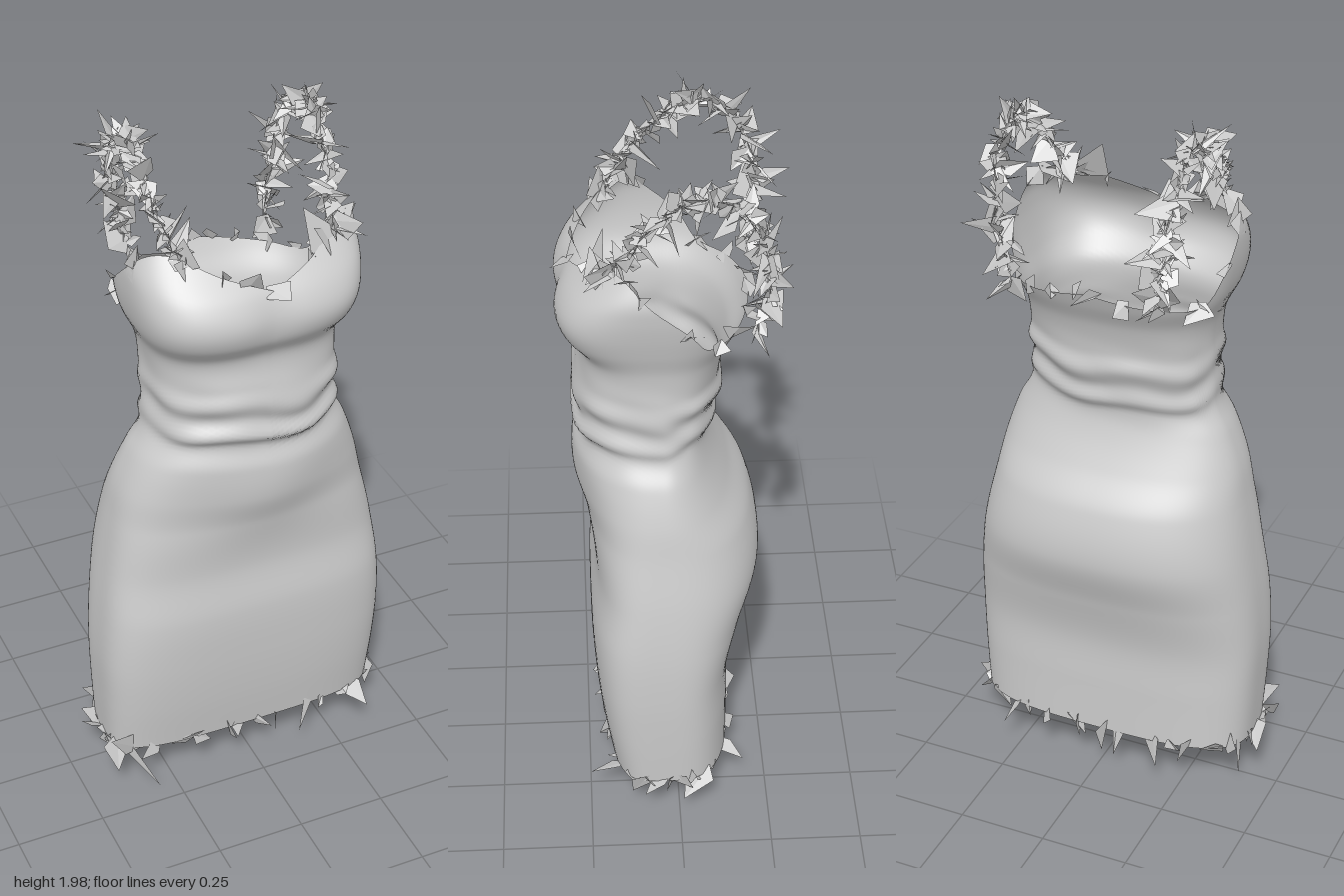
import * as THREE from 'three';

// Dress profile: height, right x, left x, front z, back z
const PROFILE = [
  [0.14, -0.415, 0.395, 0.19, -0.145], [0.30, -0.422, 0.405, 0.215, -0.145],
  [0.45, -0.425, 0.41, 0.23, -0.148], [0.60, -0.415, 0.405, 0.235, -0.185],
  [0.75, -0.395, 0.385, 0.22, -0.23], [0.90, -0.37, 0.352, 0.243, -0.205],
  [1.00, -0.35, 0.33, 0.272, -0.145], [1.10, -0.31, 0.295, 0.272, -0.10],
  [1.165, -0.27, 0.258, 0.252, -0.09], [1.20, -0.272, 0.262, 0.276, -0.11],
  [1.245, -0.26, 0.252, 0.256, -0.105], [1.295, -0.268, 0.26, 0.272, -0.127],
  [1.34, -0.262, 0.252, 0.258, -0.118], [1.43, -0.27, 0.255, 0.25, -0.138],
  [1.50, -0.30, 0.275, 0.298, -0.175], [1.56, -0.312, 0.29, 0.31, -0.20],
  [1.62, -0.315, 0.30, 0.285, -0.21], [1.67, -0.31, 0.30, 0.24, -0.21],
  [1.74, -0.28, 0.27, 0.17, -0.21],
];
// Neckline: angle from the front centre, height
const NECKLINE = [[0, 1.63], [0.35, 1.67], [0.75, 1.72], [1.1, 1.71],
  [1.5, 1.65], [1.82, 1.58], [2.08, 1.51], [2.5, 1.51], [Math.PI, 1.54]];
// Squareness of the cross-section: height, front, back
const SQUARENESS = [[0.14, 3.8, 3.2], [0.45, 3.9, 3], [0.75, 3.4, 2.5],
  [1.0, 2.8, 2.3], [1.22, 2.5, 2.1], [1.42, 2.8, 2.4], [1.55, 3.4, 2.5], [1.74, 3, 2.5]];
const CENTRE_Z = 0.04, HEM = 0.15;

// Smooth interpolation through the rows of a table
function sample(table, t, col) {
  const last = table.length - 1;
  t = THREE.MathUtils.clamp(t, table[0][0], table[last][0]);
  let i = 0;
  while (i < last - 1 && t > table[i + 1][0]) i++;
  const slope = k => {
    const a = table[Math.max(k - 1, 0)], b = table[Math.min(k + 1, last)];
    return (b[col] - a[col]) / (b[0] - a[0]);
  };
  const a = table[i], b = table[i + 1], h = b[0] - a[0], s = (t - a[0]) / h;
  const s2 = s * s, s3 = s2 * s;
  return (2 * s3 - 3 * s2 + 1) * a[col] + (s3 - 2 * s2 + s) * h * slope(i)
    + (3 * s2 - 2 * s3) * b[col] + (s3 - s2) * h * slope(i + 1);
}

const bump = (v, mid, width) => Math.exp(-(((v - mid) / width) ** 2));
const neckHeight = a => sample(NECKLINE, Math.abs(Math.atan2(Math.sin(a), Math.cos(a))), 1);

// Point of the cloth at an angle (0 = front, increasing towards +x) and height
function clothPoint(a, y) {
  const s = Math.sin(a), c = Math.cos(a);
  const waist = bump(y, 1.25, 0.1);
  // gathered waist: folds wander up and down around the body
  const fy = y + waist * (0.012 * Math.sin(2 * a + 0.6) + 0.012 * Math.sin(5 * a));
  const n = sample(SQUARENESS, y, c > 0 ? 1 : 2);
  const crumple = 1 + waist * 0.016 * Math.sin(7 * a + 45 * y) * Math.sin(3 * a - 30 * y);
  const r = crumple / (Math.abs(s) ** n + Math.abs(c) ** n) ** (1 / n);
  const x = r * s * Math.abs(sample(PROFILE, fy, s > 0 ? 2 : 1));
  const depth = c > 0 ? sample(PROFILE, fy, 3) - CENTRE_Z : CENTRE_Z - sample(PROFILE, fy, 4);
  let z = CENTRE_Z + r * c * depth;
  if (c > 0) {
    z -= 0.012 * bump(x, 0, 0.06) * bump(y, 1.56, 0.08);  // between the cups
    z -= 0.042 * bump(y, 1.0, 0.13) * (1 - bump(x, 0, 0.18)) * c; // beside the belly
  }
  return new THREE.Vector3(x, y, z);
}

function random(seed) {
  return () => {
    seed = (seed * 16807) % 2147483647;
    return seed / 2147483647;
  };
}

function meshOf(name, positions, index, flatShading) {
  const g = new THREE.BufferGeometry();
  g.setAttribute('position', new THREE.Float32BufferAttribute(positions, 3));
  if (index) g.setIndex(index);
  g.computeVertexNormals();
  const mesh = new THREE.Mesh(g, new THREE.MeshStandardMaterial({
    color: 0xcccccc, side: THREE.DoubleSide, flatShading }));
  mesh.name = name;
  return mesh;
}

// Closed tube of cloth from hem to neckline
function makeCloth() {
  const cols = 128, rows = 130, pos = [], idx = [];
  for (let j = 0; j <= rows; j++) {
    for (let i = 0; i < cols; i++) {
      const a = (i / cols) * Math.PI * 2;
      const y = THREE.MathUtils.lerp(HEM, neckHeight(a), j / rows);
      pos.push(...clothPoint(a, y).toArray());
      if (j === rows) continue;
      const k = j * cols + i, m = j * cols + (i + 1) % cols;
      idx.push(k, m, m + cols, k, m + cols, k + cols);
    }
  }
  return meshOf('dressBody', pos, idx, false);
}

// A torn scrap: two triangles folded along the line from its root to its tip
function addScrap(pos, root, dir, length, width, rnd) {
  const jitter = () => new THREE.Vector3(rnd() - 0.5, rnd() - 0.5, rnd() - 0.5);
  const side = jitter().cross(dir).normalize();
  const tip = root.clone().addScaledVector(dir, length);
  const a = root.clone().addScaledVector(side, width * 0.5);
  const b = root.clone().addScaledVector(side, -width * 0.5).addScaledVector(jitter(), width);
  const mid = root.clone().addScaledVector(dir, -width * 0.4);
  for (const p of [mid, a, tip, mid, tip, b]) pos.push(p.x, THREE.MathUtils.clamp(p.y, 0.05, 1.99), p.z);
}

// Shoulder strap made of many crumpled scraps along an arch
function makeStrap(side) {
  const rnd = random(side > 0 ? 71 : 337), pos = [];
  const curve = new THREE.CatmullRomCurve3([
    [0.195, 1.69, 0.19], [0.23, 1.77, 0.13], [0.24, 1.86, 0.06], [0.25, 1.92, -0.02],
    [0.25, 1.935, -0.09], [0.245, 1.88, -0.17], [0.235, 1.78, -0.215],
    [0.22, 1.67, -0.225], [0.2, 1.54, -0.2],
  ].map(([x, y, z]) => new THREE.Vector3(x * side, y, z)));
  const count = 125;
  for (let i = 0; i < count; i++) {
    const root = curve.getPoint((i + rnd()) / count);
    const dir = new THREE.Vector3(rnd() - 0.5, rnd() - 0.5, rnd() - 0.5).normalize();
    root.addScaledVector(dir, 0.012);
    addScrap(pos, root, dir, 0.03 + 0.065 * rnd() ** 2, 0.03 + 0.04 * rnd(), rnd);
  }
  return meshOf(side > 0 ? 'leftStrap' : 'rightStrap', pos, null, true);
}

// Ragged scraps around an edge of the cloth
function makeFringe(name, count, seed, heightAt, vertical, size) {
  const rnd = random(seed), pos = [];
  for (let i = 0; i < count; i++) {
    const a = ((i + rnd()) / count) * Math.PI * 2;
    const root = clothPoint(a, heightAt(a));
    const dir = new THREE.Vector3(rnd() - 0.5 - Math.sin(a) * 0.15,
      vertical * (rnd() * 1.5 - 0.45), Math.cos(a) * 0.1 + rnd() - 0.5).normalize();
    addScrap(pos, root, dir, size * (0.3 + 0.7 * rnd()), 0.04 + 0.04 * rnd(), rnd);
  }
  return meshOf(name, pos, null, true);
}

// Single long spike drawn from an edge of the cloth to a tip
function makeSpike(name, a, y, spread, tip) {
  const l = clothPoint(a - spread, y), r = clothPoint(a + spread, y);
  return meshOf(name, [...l.toArray(), ...r.toArray(), ...tip], null, true);
}

export function createModel() {
  const group = new THREE.Group();
  group.name = 'dress';
  group.add(makeCloth());
  group.add(makeStrap(1), makeStrap(-1));
  group.add(makeFringe('hemFringe', 42, 911, () => HEM + 0.005, -1, 0.095));
  group.add(makeFringe('necklineFringe', 24, 523, neckHeight, 0.7, 0.07));
  // longest torn points
  group.add(makeSpike('hemSpike', -0.95, 0.16, 0.09, [-0.3, 0.01, 0.2]));
  group.add(makeSpike('necklineSpike', 0.62, 1.68, 0.22, [0.12, 1.79, 0.18]));
  return group;
}
